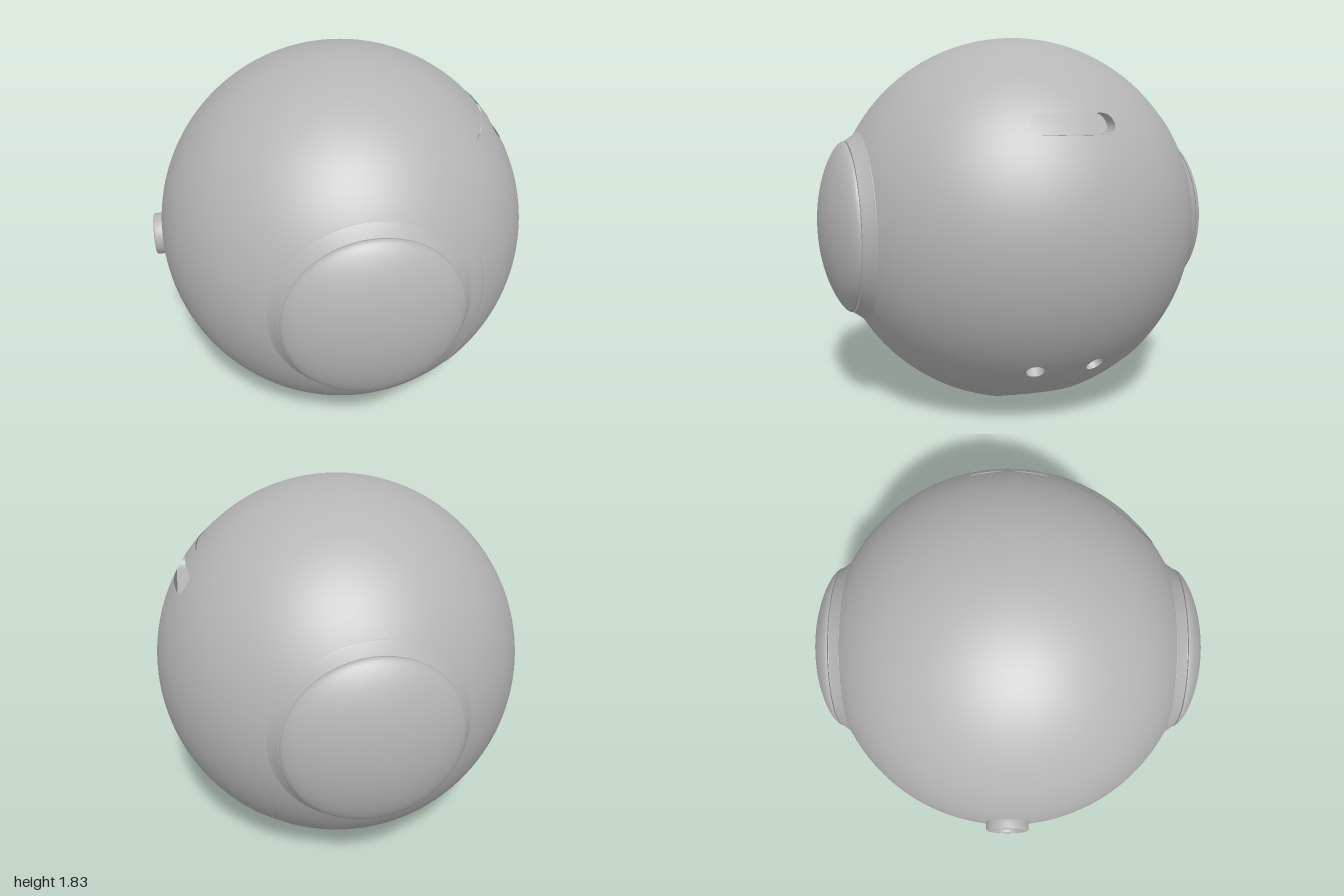
import * as THREE from 'three';
import { toCreasedNormals } from 'three/addons/utils/BufferGeometryUtils.js';

const R = 0.925;          // shell radius
const LIFT = 0.003;       // the side panel sits slightly proud
const HOLE = 0.044;       // small round hole radius
const V = (x, y, z) => new THREE.Vector3(x, y, z);

// Cutting rules, in coordinates centred on the shell: negative inside the cut
const seam = (p) => p.x < 0 ? 1 :
  Math.pow(Math.abs(p.z) / 0.76, p.y > -0.015 ? 4 : 3.2) +
  (p.y > -0.015 ? Math.pow((p.y + 0.015) / 0.64, 4) : Math.pow((-0.015 - p.y) / 0.66, 3.2)) - 1;
const slot = (p) => p.x < 0 ? 1 : Math.hypot(Math.max(Math.abs(p.z) - 0.153, 0), p.y - 0.512) - 0.047;
const arch = (z) => -0.84 + 0.052 * Math.pow(Math.max(0, 1 - Math.pow(Math.abs(z) / 0.2, 2.5)), 0.5);
const channel = (p) => Math.max(Math.abs(p.z) - 0.2, p.y - arch(p.z));
const capCut = (p) => Math.hypot(p.x, p.y) - 0.462;
const holes = [1, -1].map((s) => V(0.69, -0.597, 0.148 * s).setLength(R));
const holeCut = (p) => Math.min(...holes.map((h) => p.distanceTo(h))) - HOLE;

// Sphere trimmed by rules; keeps the region where every rule is positive
function trimmedSphere(radius, rules, wSeg = 160, hSeg = 112) {
  const g = new THREE.SphereGeometry(radius, wSeg, hSeg).toNonIndexed();
  const pos = g.attributes.position;
  let polys = [];
  for (let i = 0; i < pos.count; i += 3) {
    polys.push([0, 1, 2].map((k) => new THREE.Vector3().fromBufferAttribute(pos, i + k)));
  }
  for (const f of rules) {
    const next = [];
    for (const poly of polys) {
      const d = poly.map(f);
      const out = [];
      poly.forEach((a, i) => {
        const j = (i + 1) % poly.length;
        if (d[i] >= 0) out.push(a);
        if ((d[i] >= 0) !== (d[j] >= 0)) {
          out.push(a.clone().lerp(poly[j], d[i] / (d[i] - d[j])).setLength(radius));
        }
      });
      if (out.length > 2) next.push(out);
    }
    polys = next;
  }
  const verts = [], normals = [];
  for (const poly of polys) {
    for (let i = 1; i < poly.length - 1; i++) {
      for (const p of [poly[0], poly[i], poly[i + 1]]) {
        verts.push(p.x, p.y, p.z);
        normals.push(p.x / radius, p.y / radius, p.z / radius);
      }
    }
  }
  const out = new THREE.BufferGeometry();
  out.setAttribute('position', new THREE.Float32BufferAttribute(verts, 3));
  out.setAttribute('normal', new THREE.Float32BufferAttribute(normals, 3));
  return out;
}

// Skin through rows of points
function loft(rows) {
  const n = rows[0].length, index = [];
  for (let r = 0; r < rows.length - 1; r++) {
    for (let i = 0; i < n - 1; i++) {
      const a = r * n + i, b = a + n;
      index.push(a, b, a + 1, b, b + 1, a + 1);
    }
  }
  const g = new THREE.BufferGeometry().setFromPoints(rows.flat());
  g.setIndex(index);
  g.computeVertexNormals();
  return g;
}

const lathe = (points, seg = 96) =>
  toCreasedNormals(new THREE.LatheGeometry(points.map(([r, y]) => new THREE.Vector2(r, y)), seg), 0.45);

export function createModel() {
  const model = new THREE.Group();
  model.name = 'sphericalDevice';
  const shell = new THREE.Group();
  shell.name = 'shell';
  shell.position.set(0.017, 0.914, 0);
  model.add(shell);

  const grey = new THREE.MeshStandardMaterial({ color: 0xb5b5b5, side: THREE.DoubleSide });
  grey.name = 'plainGrey';
  const add = (name, geometry, parent = shell) => {
    const mesh = new THREE.Mesh(geometry, grey);
    mesh.name = name;
    parent.add(mesh);
    return mesh;
  };

  // Main body, raised side panel and the floor of the fine seam between them
  add('body', trimmedSphere(R, [(p) => seam(p) - 0.008, capCut, channel, holeCut]));
  add('sidePanel', trimmedSphere(R + LIFT, [(p) => -0.008 - seam(p), slot, holeCut]));
  add('seamFloor', trimmedSphere(R - 0.008, [(p) => seam(p) + 0.08, (p) => 0.08 - seam(p), holeCut]));

  // Recessed slot high on the side panel
  const ring = [];
  for (let i = 0; i <= 48; i++) {
    const a = (i / 48) * Math.PI * 2 + 1e-4;
    ring.push([Math.sign(Math.cos(a)) * 0.153 + 0.047 * Math.cos(a), 0.512 + 0.047 * Math.sin(a)]);
  }
  const onSphere = (rad) => ring.map(([z, y]) => V(Math.sqrt(rad * rad - y * y - z * z), y, z));
  add('slotWall', loft([onSphere(R + LIFT), onSphere(R - 0.06)]));
  add('slotFloor', trimmedSphere(R - 0.06, [(p) => -slot(p)]));

  // Two small round sockets low on the side panel
  for (const h of holes) {
    const socket = new THREE.Group();
    socket.name = 'socket';
    socket.position.copy(h);
    socket.quaternion.setFromUnitVectors(V(0, 1, 0), h.clone().normalize());
    shell.add(socket);
    add('socketWall', new THREE.CylinderGeometry(HOLE, HOLE, 0.052, 32, 1, true).translate(0, -0.025, 0), socket);
    add('socketFloor', new THREE.CircleGeometry(HOLE, 32).rotateX(-Math.PI / 2).translate(0, -0.05, 0), socket);
  }

  // Arched channel across the underside
  const profile = [];
  const low = -Math.sqrt(R * R - 0.04);
  for (let i = 0; i < 8; i++) profile.push([-0.2, low + (arch(0.2) - low) * (i / 8) ** 2]);
  for (let i = 0; i <= 32; i++) {
    const z = -0.2 * Math.cos((i / 32) * Math.PI);
    profile.push([z, arch(z)]);
  }
  for (let i = 7; i >= 0; i--) profile.push([0.2, profile[i][1]]);
  add('baseChannel', loft(profile.map(([z, y]) => {
    const reach = Math.sqrt(Math.max(0, R * R - z * z - y * y));
    return Array.from({ length: 25 }, (_, i) => V(reach * (i / 12 - 1), y, z));
  })));

  // Domed end caps on bevelled collars, front and back
  const dome = [];
  for (let i = 0; i <= 24; i++) {
    const a = (i / 24) * Math.PI / 2;
    const r = 0.417 * Math.cos(a);
    const arc = 0.288 + Math.sqrt(0.507 - r * r) - 0.865;
    dome.push([r, 0.867 + 0.5 * (arc + 0.133 * Math.sin(a))]);
  }
  dome[24] = [0, 1];
  const collarGeometry = lathe([[0.465, 0.792], [0.462, 0.803], [0.45, 0.815], [0.418, 0.861],
    [0.4, 0.861], [0.4, 0.867], [0.417, 0.867]]);
  const domeGeometry = lathe(dome);
  for (const side of [1, -1]) {
    const cap = new THREE.Group();
    cap.name = side > 0 ? 'frontCap' : 'backCap';
    cap.rotation.x = side * Math.PI / 2;
    shell.add(cap);
    add('collar', collarGeometry, cap);
    add('dome', domeGeometry, cap);
  }

  // Raised ring on the right side
  const rim = add('sideRing', lathe([[0.105, 0.9], [0.105, 0.95], [0.102, 0.958], [0.095, 0.962],
    [0.08, 0.962], [0.073, 0.958], [0.07, 0.95], [0.07, 0.9]], 48));
  rim.rotation.z = Math.PI / 2;

  return model;
}
